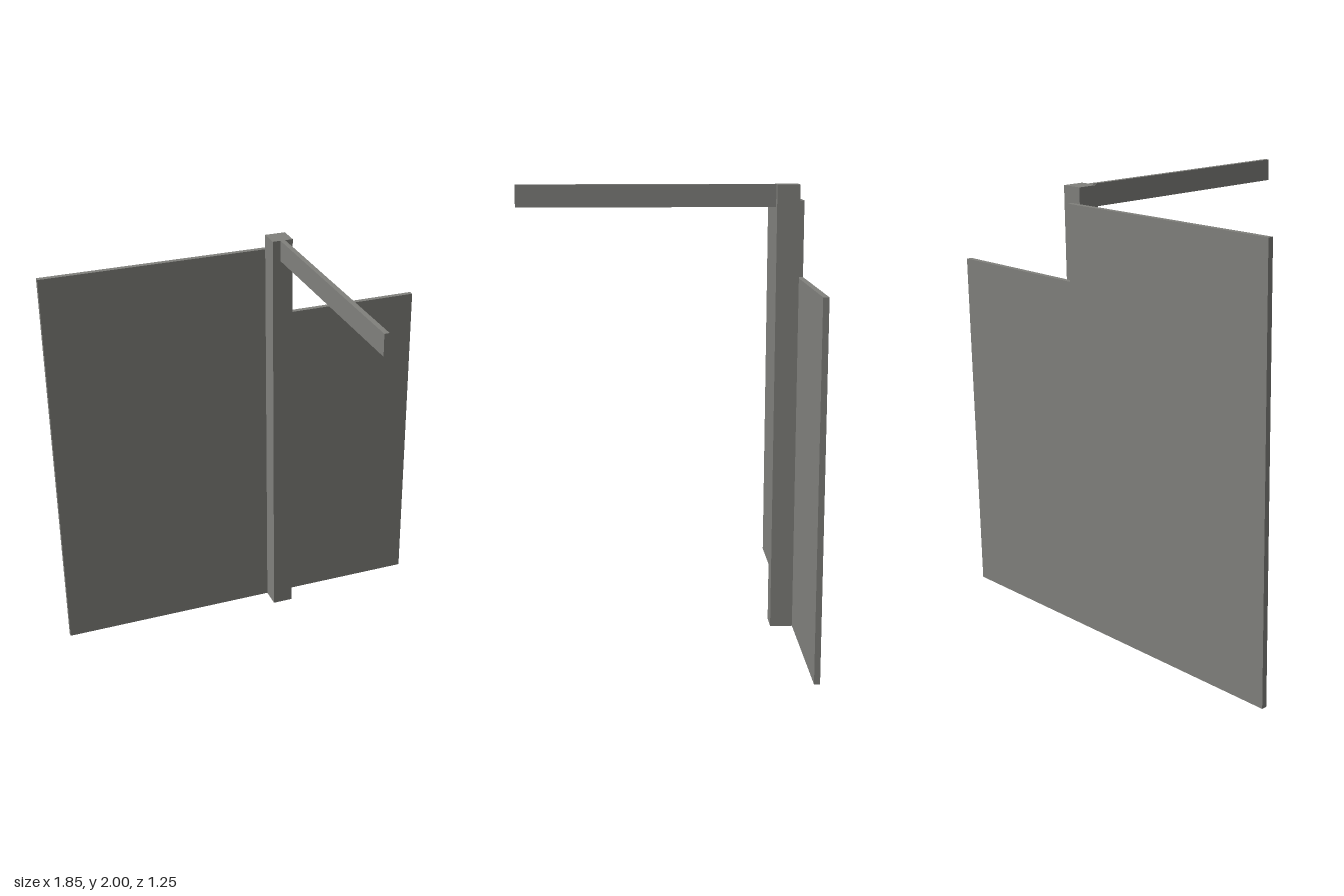
import * as THREE from 'three';

export function createModel() {
  const group = new THREE.Group();
  const grey = new THREE.MeshStandardMaterial({ color: 0x80807c });
  grey.name = 'warm grey';

  const add = (name, geometry) => {
    const mesh = new THREE.Mesh(geometry, grey);
    mesh.name = name;
    group.add(mesh);
    return mesh;
  };

  const centreX = 0.197; // shared by the post, the arm and the step in the panel

  // Thin upright panel, stepped down on the model's left
  const outline = new THREE.Shape([
    [-0.925, 0], [0.922, 0], [0.922, 1.596], [centreX, 1.596], [centreX, 1.93], [-0.925, 1.93],
  ].map(([x, y]) => new THREE.Vector2(x, y)));
  const panel = add('backPanel', new THREE.ExtrudeGeometry(outline, { depth: 0.025, bevelEnabled: false }));
  panel.position.z = -0.627;

  // Square post standing against the panel
  const post = add('post', new THREE.BoxGeometry(0.098, 2, 0.1));
  post.position.set(centreX, 1, -0.552);

  // Narrow arm reaching forward from the top of the post
  const arm = add('arm', new THREE.BoxGeometry(0.023, 0.098, 1.129));
  arm.position.set(centreX, 1.951, 0.0625);

  return group;
}
